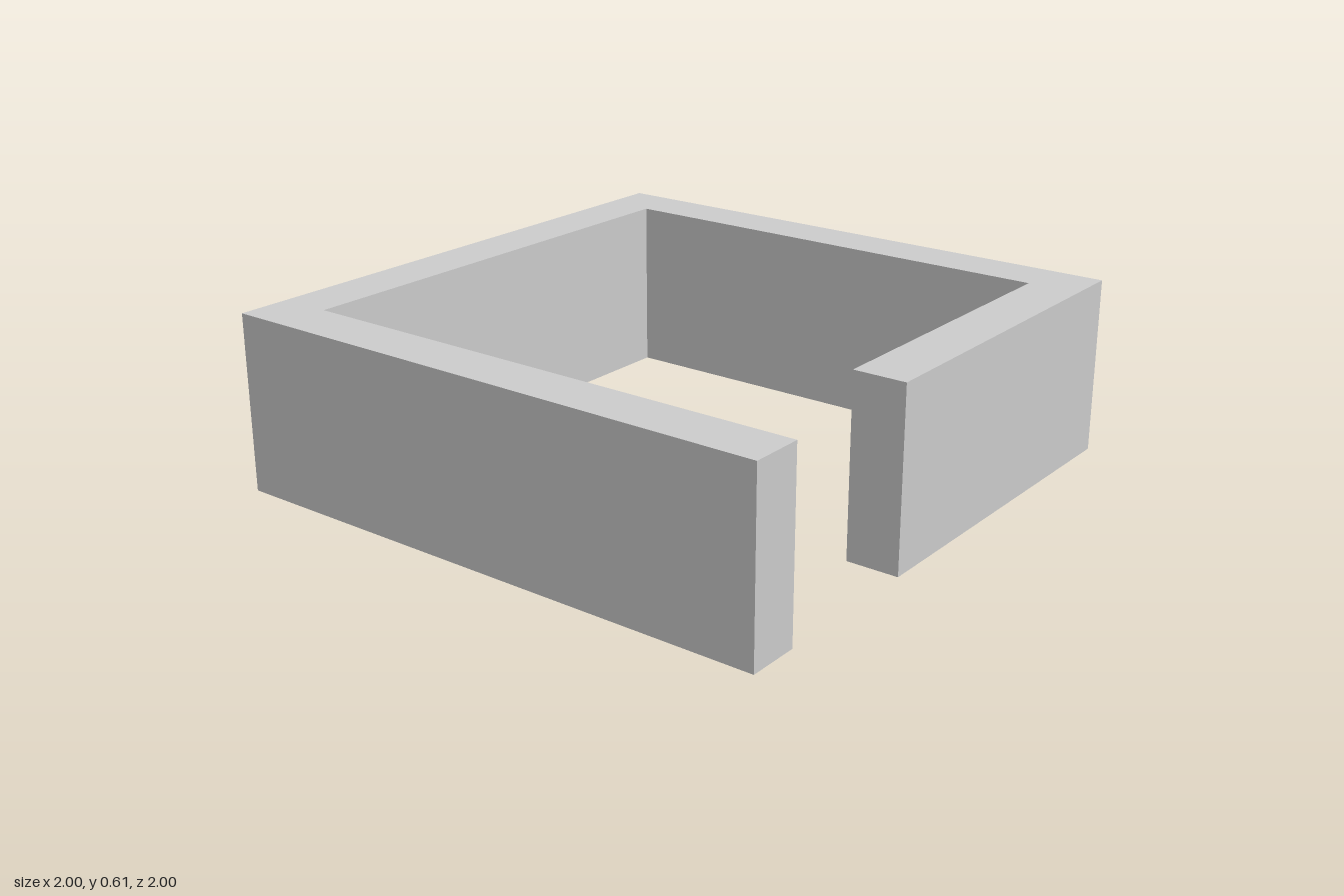
import * as THREE from 'three';

const HEIGHT = 0.61;
const OUTER = 1;
const INNER = 0.82;
const DOOR_EDGE = -0.27; // the doorway runs from the right wall's inner face to here

export function createModel() {
  const model = new THREE.Group();
  model.name = 'walledEnclosure';

  // Floor plan of the continuous wall, in (x, -z), counter-clockwise from the doorway
  const plan = new THREE.Shape([
    [DOOR_EDGE, -OUTER], [OUTER, -OUTER], [OUTER, OUTER], [-OUTER, OUTER], [-OUTER, -OUTER],
    [-INNER, -OUTER], [-INNER, INNER], [INNER, INNER], [INNER, -INNER], [DOOR_EDGE, -INNER],
  ].map(([x, y]) => new THREE.Vector2(x, y)));

  // Raise the plan upright from the ground
  const geometry = new THREE.ExtrudeGeometry(plan, { depth: HEIGHT, bevelEnabled: false });
  geometry.rotateX(-Math.PI / 2);

  const walls = new THREE.Mesh(geometry, new THREE.MeshStandardMaterial({ color: 0xcccccc }));
  walls.name = 'walls';
  model.add(walls);
  return model;
}
